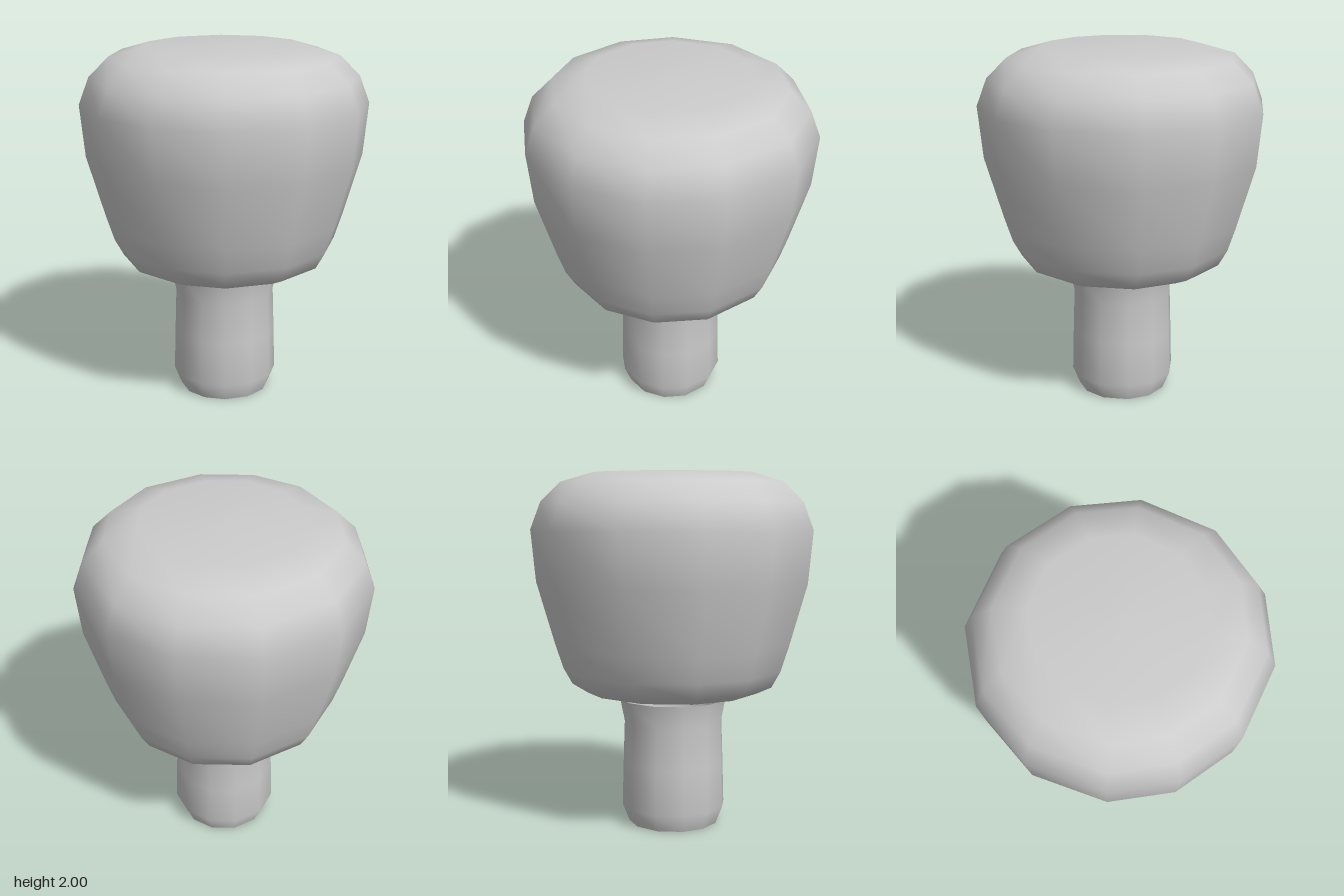
import * as THREE from 'three';

// Slightly uneven facet angles (degrees from +z towards +x), closing on themselves
const ANGLES = [-2, 29, 58, 87, 120, 149, 180, 213, 245, 273, 304, 330.5, 358];

// Twelve-sided lathe whose columns are turned to the uneven angles
function unevenLathe(profile) {
  const points = profile.map(([r, y]) => new THREE.Vector2(r, y));
  const geometry = new THREE.LatheGeometry(points, ANGLES.length - 1);
  const position = geometry.attributes.position;
  const normal = geometry.attributes.normal;
  for (let i = 0; i < position.count; i++) {
    const column = Math.floor(i / points.length);
    const angle = THREE.MathUtils.degToRad(ANGLES[column]);
    const turn = angle - (column / (ANGLES.length - 1)) * Math.PI * 2;
    const r = points[i % points.length].x;
    position.setX(i, r * Math.sin(angle));
    position.setZ(i, r * Math.cos(angle));
    const nx = normal.getX(i), nz = normal.getZ(i);
    normal.setX(i, nx * Math.cos(turn) + nz * Math.sin(turn));
    normal.setZ(i, nz * Math.cos(turn) - nx * Math.sin(turn));
  }
  return geometry;
}

export function createModel() {
  const group = new THREE.Group();
  const solid = new THREE.MeshStandardMaterial({ color: 0xcccccc });
  const open = new THREE.MeshStandardMaterial({ color: 0xcccccc, side: THREE.DoubleSide });

  const add = (name, profile, material) => {
    const mesh = new THREE.Mesh(unevenLathe(profile), material);
    mesh.name = name;
    group.add(mesh);
  };

  // Rounded, tapering head
  add('head', [
    [0.49, 0.77], [0.575, 0.81], [0.625, 0.9], [0.67, 1.04], [0.77, 1.39],
    [0.797, 1.68], [0.74, 1.83], [0.63, 1.94], [0.45, 1.993], [0, 2],
  ], solid);

  // Flat underside with a crisp rim
  add('headUnderside', [[0, 0.77], [0.49, 0.77]], solid);

  // Hollow stem, flared at the top and drawn in at the foot
  add('stem', [[0.255, 0], [0.295, 0.1], [0.288, 0.35], [0.28, 0.59], [0.305, 0.72]], open);

  return group;
}
